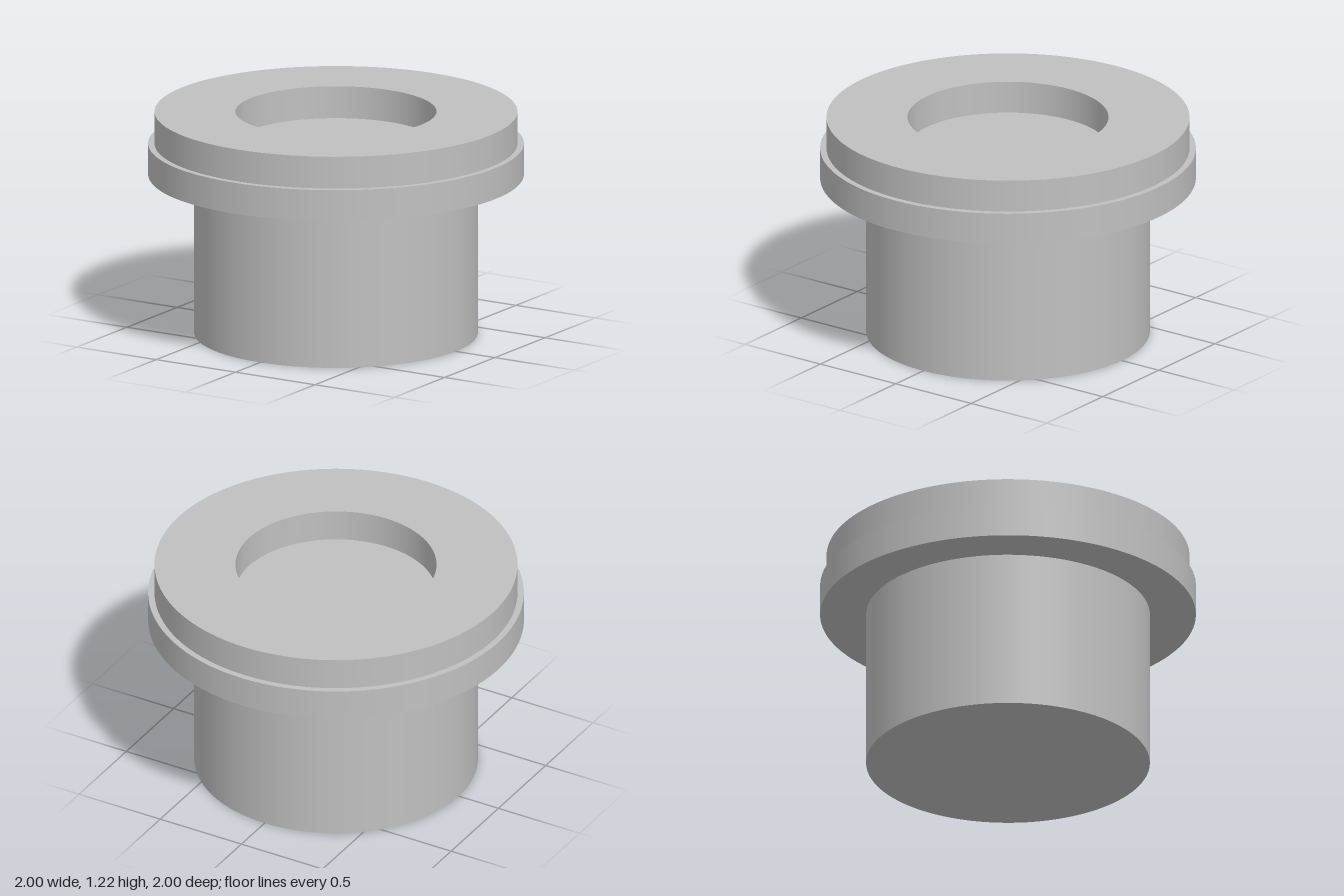
import * as THREE from 'three';

const SEGMENTS = 128;

// Revolve a profile of [radius, height] points; each straight run gets its own
// normals, so cylinder walls are smooth and the rims stay sharp.
function turned(name, profile, material) {
  const part = new THREE.Group();
  part.name = name;
  for (let i = 0; i < profile.length - 1; i++) {
    const run = [profile[i], profile[i + 1]].map(([r, y]) => new THREE.Vector2(r, y));
    const mesh = new THREE.Mesh(new THREE.LatheGeometry(run, SEGMENTS), material);
    mesh.name = `${name}Surface${i + 1}`;
    part.add(mesh);
  }
  return part;
}

export function createModel() {
  const grey = new THREE.MeshStandardMaterial({ color: 0xc0c0c0 });
  grey.name = 'plain grey';

  const yFlange = 0.87, yStep = 1.04, yTop = 1.215;
  const rPlug = 0.755, rFlange = 1, rCollar = 0.966, rRecess = 0.535;

  const model = new THREE.Group();
  model.name = 'flangedPlug';
  model.add(
    // Solid plug with a closed base
    turned('plug', [[0, 0], [rPlug, 0], [rPlug, yFlange]], grey),
    // Wide flange with a narrow ledge on top
    turned('flange', [[rPlug, yFlange], [rFlange, yFlange], [rFlange, yStep], [rCollar, yStep]], grey),
    // Collar ring and the shallow round recess inside it
    turned('collar', [[rCollar, yStep], [rCollar, yTop], [rRecess, yTop]], grey),
    turned('recess', [[rRecess, yTop], [rRecess, yStep], [0, yStep]], grey),
  );
  return model;
}
